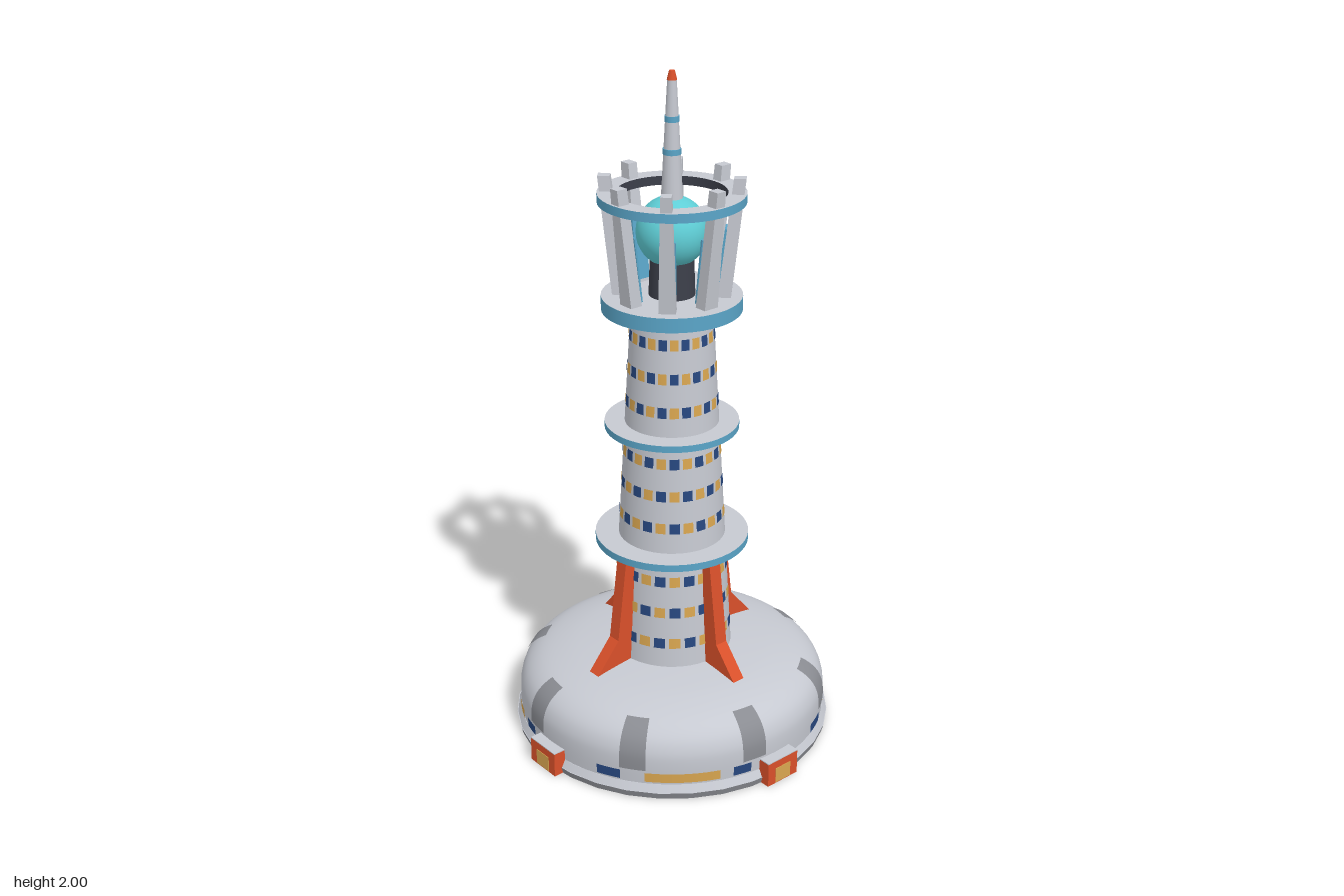
import * as THREE from 'three';
import { mergeGeometries } from 'three/addons/utils/BufferGeometryUtils.js';

const paint = (name, color, side = THREE.FrontSide) => {
  const m = new THREE.MeshStandardMaterial({ color, side });
  m.name = name;
  return m;
};
const V = (x, y) => new THREE.Vector2(x, y);
const rad = THREE.MathUtils.degToRad;

export function createModel() {
  const hull = paint('hull grey', 0xc6c9d1);
  const panel = paint('panel grey', 0x8a8c92);
  const dark = paint('dark grey', 0x3c3f4a);
  const orange = paint('orange', 0xd9502a);
  const blue = paint('trim blue', 0x5aa5c8);
  const navy = paint('window navy', 0x27477f);
  const gold = paint('window gold', 0xd9a650);
  const cyan = paint('globe cyan', 0x5fced6);

  const model = new THREE.Group();
  const add = (name, geometry, material, parent = model) => {
    const mesh = new THREE.Mesh(geometry, material);
    mesh.name = name;
    parent.add(mesh);
    return mesh;
  };
  const cylinder = (name, rTop, rBottom, y0, y1, material, sides = 32) => {
    const mesh = add(name, new THREE.CylinderGeometry(rTop, rBottom, y1 - y0, sides), material);
    mesh.position.y = (y0 + y1) / 2;
    return mesh;
  };
  // Curved strip on a surface of revolution, angles in degrees from the front
  const strip = (points, from, width, segments = 4) =>
    new THREE.LatheGeometry(points, segments, rad(from), rad(width));
  // Calls build(group, index) for evenly turned copies around the axis
  const around = (name, count, build) => {
    for (let i = 0; i < count; i++) {
      const g = new THREE.Group();
      g.name = name;
      g.rotation.y = (i / count) * Math.PI * 2;
      build(g, i);
      model.add(g);
    }
  };

  // Base: foot, skirt and rounded dome
  cylinder('baseFoot', 0.48, 0.475, 0, 0.02, [panel, hull, panel]);
  cylinder('baseSkirt', 0.466, 0.478, 0.02, 0.042, hull);
  const domeCurve = new THREE.SplineCurve([
    V(0.464, 0.04), V(0.466, 0.10), V(0.461, 0.145), V(0.44, 0.185),
    V(0.395, 0.217), V(0.32, 0.24), V(0.24, 0.252), V(0.15, 0.26),
  ]);
  const domePoints = domeCurve.getPoints(28);
  add('baseDome', new THREE.LatheGeometry(domePoints, 64), hull);

  // Grey panels bent over the dome shoulder
  const panelPoints = domePoints
    .filter(p => p.y > 0.082 && p.y < 0.222)
    .map(p => V(p.x + 0.002, p.y + 0.002));
  const panels = [];
  for (let i = 0; i < 8; i++) panels.push(strip(panelPoints, -14.3 + i * 45, 9.6));
  add('domePanels', mergeGeometries(panels), panel);

  // Coloured band around the base
  const bandPoints = [V(0.468, 0.05), V(0.469, 0.08)];
  const bandNavy = [], bandGold = [];
  for (let q = 0; q < 360; q += 90) {
    bandNavy.push(strip(bandPoints, q + 22, 9), strip(bandPoints, q + 72, 7));
    bandGold.push(strip(bandPoints, q + 40, 27, 6));
  }
  add('baseBandNavy', mergeGeometries(bandNavy), navy);
  add('baseBandGold', mergeGeometries(bandGold), gold);

  // Doorways on four sides
  around('doorway', 4, g => {
    add('doorFrame', new THREE.BoxGeometry(0.115, 0.075, 0.06), orange, g).position.set(0, 0.0375, 0.469);
    add('doorRoof', new THREE.BoxGeometry(0.115, 0.003, 0.06), hull, g).position.set(0, 0.0765, 0.469);
    add('door', new THREE.BoxGeometry(0.058, 0.048, 0.004), gold, g).position.set(0, 0.027, 0.4985);
  });

  // Tapered tower
  const towerRadius = y => 0.18 - (0.063 * (y - 0.25)) / 1.08;
  cylinder('tower', towerRadius(1.34), towerRadius(0.24), 0.24, 1.34, hull, 48);

  // Window rows, navy and gold in turn
  const navyWindows = [], goldWindows = [];
  [0.335, 0.435, 0.535, 0.705, 0.805, 0.905, 1.06, 1.16, 1.26].forEach((y, row) => {
    const points = [y - 0.016, y + 0.016].map(h => V(towerRadius(h) + 0.002, h));
    for (let i = 0; i < 24; i++) {
      ((i + row) % 2 ? goldWindows : navyWindows).push(strip(points, i * 15 + 2, 11, 2));
    }
  });
  add('navyWindows', mergeGeometries(navyWindows), navy);
  add('goldWindows', mergeGeometries(goldWindows), gold);

  // Balcony discs: blue rim, grey deck, dark underside
  for (const [r, y0, y1] of [[0.227, 0.605, 0.627], [0.195, 0.967, 0.987], [0.2, 1.328, 1.37]]) {
    cylinder('balcony', r, r, y0, y1, [blue, hull, dark], 48);
  }

  // Buttress fins
  const finShape = new THREE.Shape([
    V(0.14, 0.22), V(0.31, 0.22), V(0.31, 0.235), V(0.225, 0.335), V(0.19, 0.606), V(0.14, 0.606),
  ]);
  const finGeometry = new THREE.ExtrudeGeometry(finShape, { depth: 0.04, bevelEnabled: false });
  finGeometry.translate(0, 0, -0.02);
  around('buttress', 4, g => add('fin', finGeometry, orange, g));

  // Crown posts leaning outwards, with a blue plate on the inner face
  const postGeometry = new THREE.BoxGeometry(0.048, 0.345, 0.038);
  const p = postGeometry.attributes.position;
  for (let i = 0; i < p.count; i++) {
    const t = p.getY(i) / 0.345 + 0.5;
    p.setXYZ(i, p.getX(i) * (1 - 0.38 * t), p.getY(i) + 1.5375, p.getZ(i) * (1 - 0.1 * t) + 0.147 + 0.04 * t);
  }
  postGeometry.computeVertexNormals();
  around('crownPost', 8, g => {
    add('post', postGeometry, hull, g);
    const plate = add('postLight', new THREE.BoxGeometry(0.046, 0.19, 0.006), blue, g);
    plate.position.set(0, 1.475, 0.139);
    plate.rotation.x = 0.12;
  });

  // Flat hoop around the crown
  const hoop = new THREE.Group();
  hoop.name = 'crownHoop';
  model.add(hoop);
  const hoopFace = (name, a, b, material) => add(name, new THREE.LatheGeometry([a, b], 48), material, hoop);
  hoopFace('hoopRim', V(0.207, 1.64), V(0.207, 1.666), blue);
  hoopFace('hoopTop', V(0.207, 1.666), V(0.155, 1.666), hull);
  hoopFace('hoopInside', V(0.155, 1.666), V(0.155, 1.64), dark);
  hoopFace('hoopUnderside', V(0.155, 1.64), V(0.207, 1.64), dark);

  // Globe on its pedestal
  cylinder('globePedestal', 0.062, 0.066, 1.37, 1.48, dark);
  add('globe', new THREE.SphereGeometry(0.101, 32, 20), cyan).position.y = 1.553;

  // Spire with blue bands and an orange tip
  const spireRadius = y => 0.031 - (0.018 * (y - 1.64)) / 0.335;
  cylinder('spire', spireRadius(1.975), spireRadius(1.64), 1.64, 1.975, hull, 16);
  for (const y of [1.78, 1.87]) {
    cylinder('spireBand', spireRadius(y) + 0.002, spireRadius(y) + 0.002, y - 0.008, y + 0.008, blue, 16);
  }
  cylinder('spireTip', 0.008, 0.014, 1.975, 2, orange, 16);

  return model;
}
